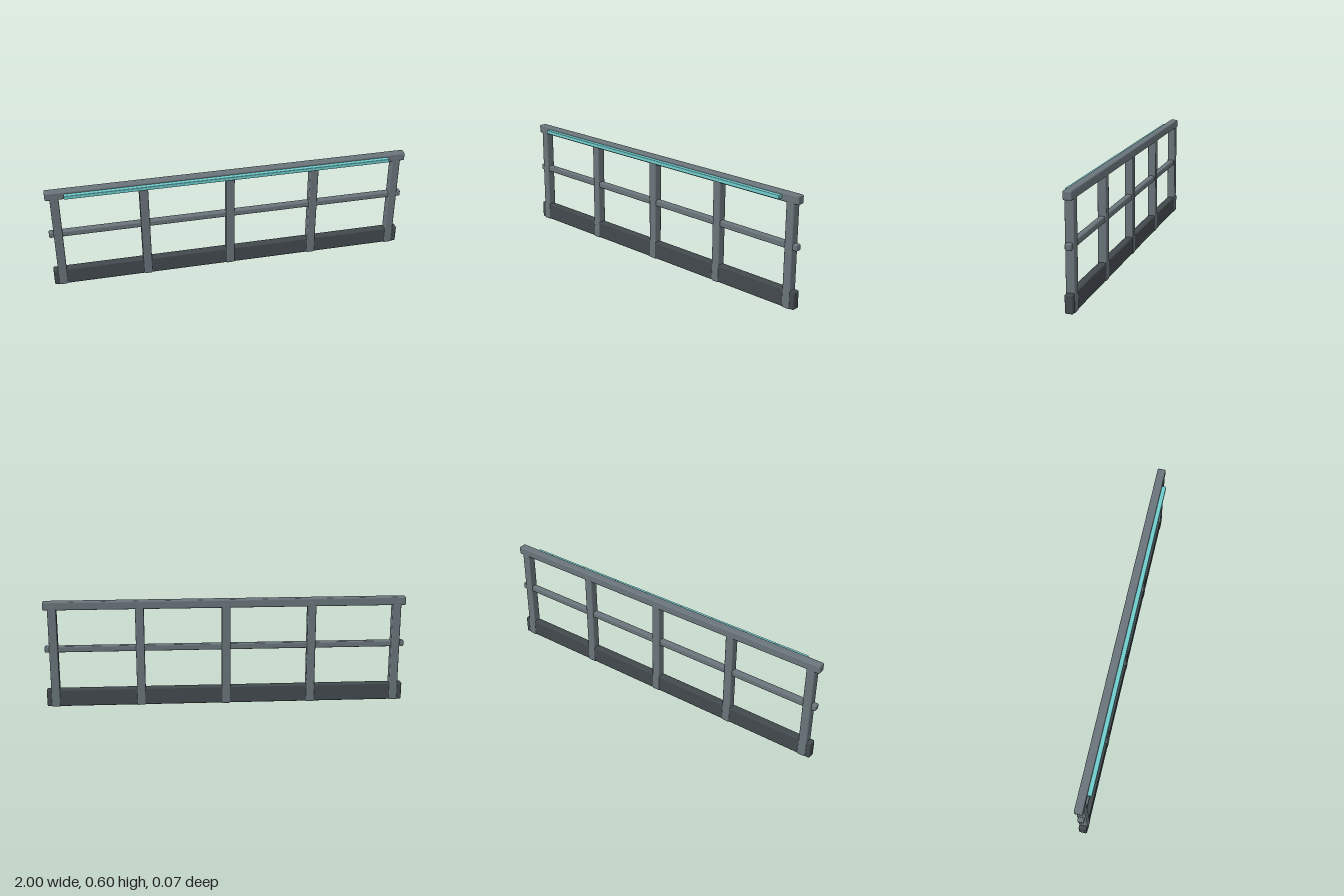
import * as THREE from 'three';
import { RoundedBoxGeometry } from 'three/addons/geometries/RoundedBoxGeometry.js';

export function createModel() {
  const group = new THREE.Group();
  group.name = 'guardRailing';

  const steel = new THREE.MeshStandardMaterial({ color: 0x69747a });
  steel.name = 'grey steel';
  const darkSteel = new THREE.MeshStandardMaterial({ color: 0x42494d });
  darkSteel.name = 'dark steel';
  const cyan = new THREE.MeshStandardMaterial({ color: 0x70cccc });
  cyan.name = 'light cyan';

  // Bevelled bar given by its size and centre
  const bar = (name, material, [w, h, d], [x, y, z], bevel) => {
    const mesh = new THREE.Mesh(new RoundedBoxGeometry(w, h, d, 2, bevel), material);
    mesh.name = name;
    mesh.position.set(x, y, z);
    group.add(mesh);
  };

  const z = -0.011; // centre plane of the frame

  // Horizontal members
  bar('topRail', steel, [2, 0.047, 0.046], [0, 0.577, z], 0.008);
  bar('middleRail', steel, [2, 0.034, 0.034], [0, 0.331, z], 0.007);
  bar('toeBoard', darkSteel, [2, 0.098, 0.044], [0, 0.051, z], 0.008);

  // Five evenly spaced posts
  for (let i = -2; i <= 2; i++) {
    bar('post', steel, [0.048, 0.58, 0.048], [i * 0.4755, 0.29, z], 0.007);
  }

  // Light strip along the front of the top rail
  bar('lightStrip', cyan, [1.8, 0.021, 0.026], [0, 0.577, 0.023], 0.004);

  return group;
}
